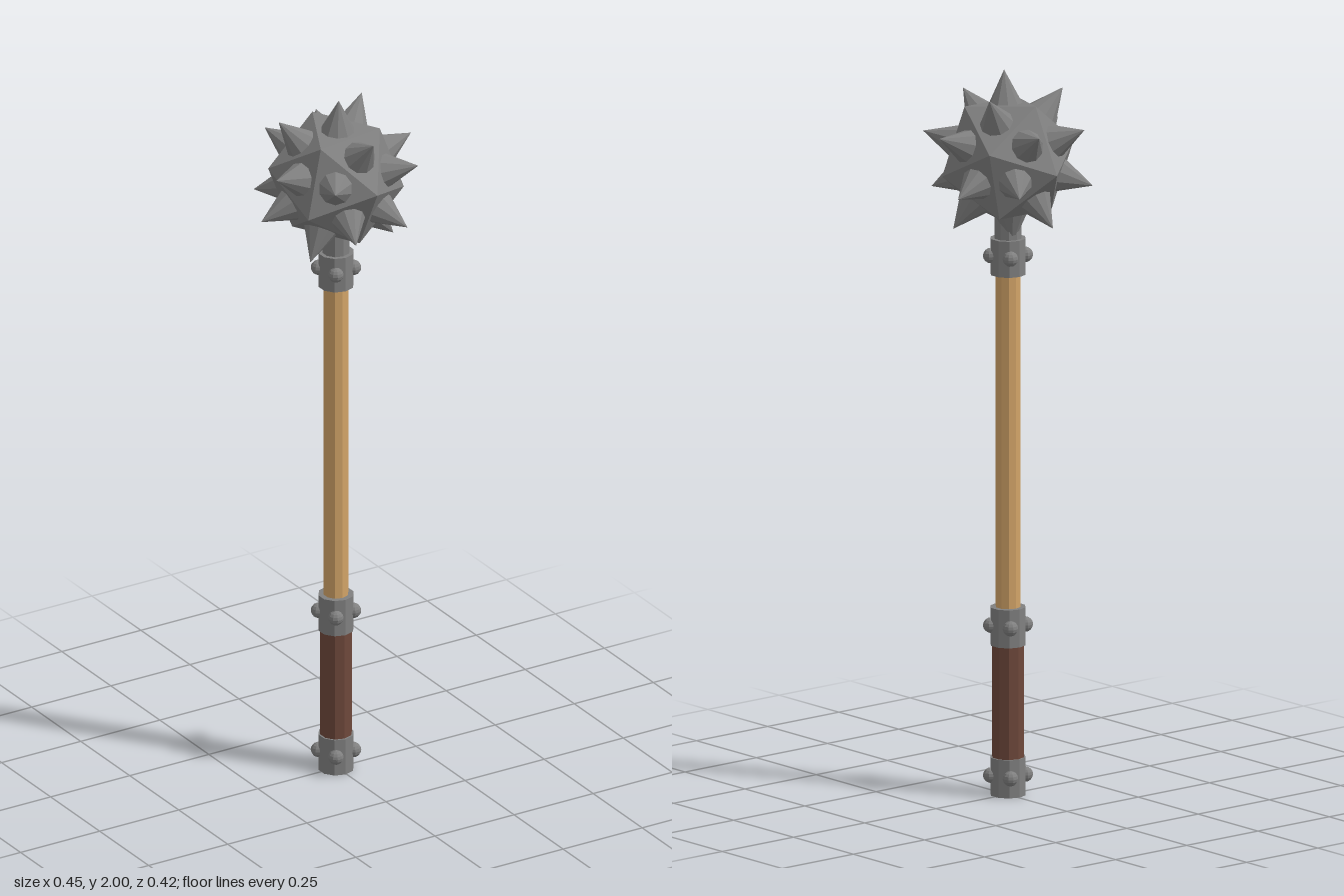
import * as THREE from 'three';

const paint = (color) => new THREE.MeshStandardMaterial({ color, flatShading: true });

export function createModel() {
  const model = new THREE.Group();
  model.name = 'spikedMace';
  const metal = paint(0x808080);
  const wood = paint(0xd2a468);
  const leather = paint(0x6e483b);

  const add = (parent, name, geometry, material) => {
    const mesh = new THREE.Mesh(geometry, material);
    mesh.name = name;
    parent.add(mesh);
    return mesh;
  };

  // Upright ten-sided rod between two heights
  const rod = (parent, name, radius, y0, y1, material) => {
    const mesh = add(parent, name, new THREE.CylinderGeometry(radius, radius, y1 - y0, 10), material);
    mesh.position.y = (y0 + y1) / 2;
  };

  // Handle
  const handle = new THREE.Group();
  handle.name = 'handle';
  handle.position.x = -0.003;
  model.add(handle);
  rod(handle, 'shaft', 0.034, 0.4, 1.46, wood);
  rod(handle, 'grip', 0.044, 0.08, 0.44, leather);
  rod(handle, 'neck', 0.038, 1.5, 1.66, metal);

  // Collars, each with four round studs
  const studGeometry = new THREE.SphereGeometry(0.021, 10, 8);
  for (const [name, y0, y1] of [['pommelCollar', 0, 0.105], ['gripCollar', 0.415, 0.52], ['upperCollar', 1.44, 1.54]]) {
    const collar = new THREE.Group();
    collar.name = name;
    handle.add(collar);
    rod(collar, 'band', 0.049, y0, y1, metal);
    for (let i = 0; i < 4; i++) {
      const a = THREE.MathUtils.degToRad(-32 + 90 * i);
      add(collar, 'stud', studGeometry, metal)
        .position.set(0.047 * Math.sin(a), (y0 + y1) / 2 + 0.002, 0.047 * Math.cos(a));
    }
  }

  // Head: an icosahedron turned so that one face points up
  const head = new THREE.Group();
  head.name = 'head';
  head.position.set(-0.003, 1.76, 0);
  head.rotation.set(0.095, THREE.MathUtils.degToRad(5), 0.025);
  model.add(head);

  const ball = new THREE.IcosahedronGeometry(0.188, 0);
  const corner = (i) => new THREE.Vector3().fromBufferAttribute(ball.attributes.position, i);
  const faceCentre = (i) => corner(i).add(corner(i + 1)).add(corner(i + 2)).divideScalar(3);
  const up = faceCentre(0).normalize();
  const front = faceCentre(0).sub(corner(0)).normalize();
  const side = new THREE.Vector3().crossVectors(up, front);
  ball.applyMatrix4(new THREE.Matrix4().makeBasis(side, up, front).transpose());
  add(head, 'ball', ball, metal);

  // One spike at the middle of every face
  const base = 0.145, tip = 0.241;
  const spikeGeometry = new THREE.ConeGeometry(0.048, tip - base, 10);
  spikeGeometry.translate(0, (base + tip) / 2, 0);
  const yAxis = new THREE.Vector3(0, 1, 0);
  for (let i = 0; i < ball.attributes.position.count; i += 3) {
    add(head, 'spike', spikeGeometry, metal)
      .quaternion.setFromUnitVectors(yAxis, faceCentre(i).normalize());
  }

  return model;
}
